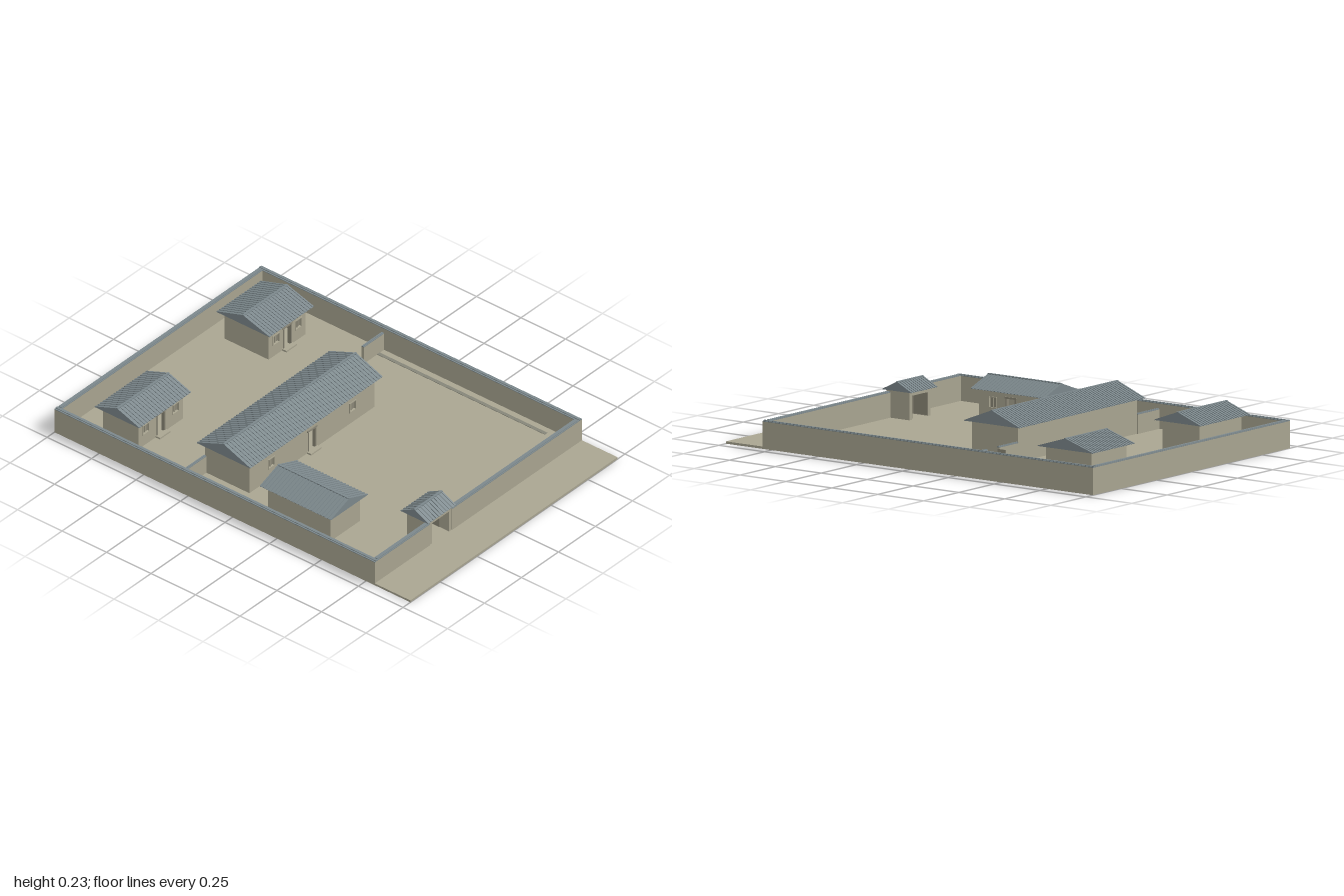
import * as THREE from 'three';

const mat = (name, color) => {
  const m = new THREE.MeshStandardMaterial({ color });
  m.name = name;
  return m;
};

export function createModel() {
  const plaster = mat('plaster', 0xa9a591);
  const slate = mat('slate', 0x7c888c);
  const timber = mat('timber', 0x8b8777);
  const drainStone = mat('drain stone', 0x858579);
  const model = new THREE.Group();
  model.name = 'walledCompound';

  const add = (parent, name, geometry, material) => {
    const mesh = new THREE.Mesh(geometry, material);
    mesh.name = name;
    parent.add(mesh);
    return mesh;
  };
  // Box given by its minimum and maximum corners
  const block = (parent, name, [x0, y0, z0], [x1, y1, z1], material) => {
    const mesh = add(parent, name, new THREE.BoxGeometry(x1 - x0, y1 - y0, z1 - z0), material);
    mesh.position.set((x0 + x1) / 2, (y0 + y1) / 2, (z0 + z1) / 2);
    return mesh;
  };
  const rect = (Type, x0, y0, x1, y1) => {
    const p = new Type();
    p.moveTo(x0, y0);
    p.lineTo(x1, y0);
    p.lineTo(x1, y1);
    p.lineTo(x0, y1);
    p.closePath();
    return p;
  };

  // Solid gable roof with tile ribs, ridge along x
  function addRoof(parent, w, d, eave, ridge) {
    const roof = new THREE.Group();
    roof.name = 'tiledRoof';
    roof.position.y = eave;
    parent.add(roof);
    const rib = 0.004;
    const rise = ridge - eave - rib;
    const gable = new THREE.Shape();
    gable.moveTo(-d / 2, 0);
    gable.lineTo(d / 2, 0);
    gable.lineTo(0, rise);
    gable.closePath();
    const prism = new THREE.ExtrudeGeometry(gable, { depth: w, bevelEnabled: false });
    prism.translate(0, 0, -w / 2).rotateY(Math.PI / 2);
    add(roof, 'roofBody', prism, slate);

    const slope = Math.hypot(d / 2, rise);
    const angle = Math.atan2(rise, d / 2);
    const count = Math.round(w / 0.018);
    const ribGeometry = new THREE.BoxGeometry(0.008, rib, slope);
    for (const side of [-1, 1]) {
      for (let i = 0; i <= count; i++) {
        const tile = add(roof, 'tileRib', ribGeometry, slate);
        tile.position.set(-w / 2 + 0.004 + (i / count) * (w - 0.008), rise / 2 + 0.001, side * d / 4);
        tile.rotation.x = side * angle;
      }
    }
    block(roof, 'ridgeCap', [-w / 2, rise - 0.003, -0.005], [w / 2, rise + rib, 0.005], slate);
  }

  // House with its door and windows on +z; w and d are the roof's size
  function addHouse(name, x, z, w, d, eave, ridge, windowX, turn = 0) {
    const house = new THREE.Group();
    house.name = name;
    house.position.set(x, 0, z);
    house.rotation.y = turn;
    model.add(house);
    const hw = w / 2 - 0.025, hd = d / 2 - 0.025, t = 0.015, base = 0.01;
    const doorW = 0.025, doorTop = 0.12;

    const front = rect(THREE.Shape, -hw, base, hw, eave);
    front.holes.push(rect(THREE.Path, -doorW, base + 0.004, doorW, doorTop));
    for (const s of [-1, 1]) {
      const c = s * windowX;
      front.holes.push(rect(THREE.Path, c - 0.02, 0.07, c + 0.02, 0.115));
    }
    const wall = new THREE.ExtrudeGeometry(front, { depth: t, bevelEnabled: false });
    wall.translate(0, 0, hd - t);
    add(house, 'frontWall', wall, plaster);
    block(house, 'backWall', [-hw, base, -hd], [hw, eave, -hd + t], plaster);
    for (const s of [-1, 1]) {
      const a = s * hw, b = s * (hw - t);
      block(house, 'endWall', [Math.min(a, b), base, -hd + t], [Math.max(a, b), eave, hd - t], plaster);
      // Window with frame, bars and recessed pane
      const c = s * windowX;
      block(house, 'windowPane', [c - 0.02, 0.07, hd - 0.012], [c + 0.02, 0.115, hd - 0.009], timber);
      block(house, 'windowBar', [c - 0.0015, 0.07, hd - 0.009], [c + 0.0015, 0.115, hd - 0.004], plaster);
      for (const e of [-1, 1]) {
        block(house, 'windowJamb', [c + e * 0.021 - 0.002, 0.067, hd], [c + e * 0.021 + 0.002, 0.118, hd + 0.003], plaster);
        block(house, 'windowRail', [c - 0.023, 0.0925 + e * 0.0235 - 0.002, hd], [c + 0.023, 0.0925 + e * 0.0235 + 0.002, hd + 0.003], plaster);
      }
      // Door jamb
      block(house, 'doorJamb', [s * doorW - 0.003, base, hd - t], [s * doorW + 0.003, doorTop, hd + 0.003], timber);
    }
    block(house, 'doorLintel', [-0.033, doorTop - 0.002, hd - t], [0.033, doorTop + 0.006, hd + 0.004], timber);
    block(house, 'doorStep', [-0.035, base, hd], [0.035, base + 0.008, hd + 0.025], plaster);
    addRoof(house, w, d, eave, ridge);
  }

  // Ground slab, extending in front of the wall
  block(model, 'groundSlab', [-0.7, 0, -1], [0.7, 0.01, 1], plaster);

  // Walls with a stepped slate coping
  function addWall(name, x0, z0, x1, z1, h) {
    block(model, name, [x0, 0.01, z0], [x1, h, z1], plaster);
    block(model, name + 'Coping', [x0, h, z0], [x1, h + 0.003, z1], slate);
    const inX = x1 - x0 < z1 - z0 ? 0.007 : 0, inZ = inX ? 0 : 0.005;
    block(model, name + 'CopingRidge', [x0 + inX, h + 0.003, z0 + inZ], [x1 - inX, h + 0.006, z1 - inZ], slate);
  }
  const t = 0.024;
  addWall('rightWall', -0.7, -1, -0.7 + t, 0.8, 0.12);
  addWall('leftWall', 0.7 - t, -1, 0.7, 0.8, 0.12);
  addWall('backWall', -0.7 + t, -1, 0.7 - t, -1 + t, 0.12);
  addWall('frontWall', -0.7 + t, 0.8 - t, -0.328, 0.8, 0.12);
  addWall('frontWall', -0.177, 0.8 - t, 0.7 - t, 0.8, 0.12);

  // Inner dividing wall with a small gateway
  addWall('innerWall', -0.7 + t, -0.306, -0.525, -0.292, 0.095);
  addWall('innerWall', 0.325, -0.306, 0.46, -0.292, 0.095);
  addWall('innerWall', 0.54, -0.306, 0.7 - t, -0.292, 0.095);
  block(model, 'innerThreshold', [0.455, 0.01, -0.306], [0.545, 0.016, -0.292], plaster);
  block(model, 'innerGateLeaf', [0.463, 0.014, -0.345], [0.467, 0.09, -0.3], timber);

  // Main gate
  const gate = new THREE.Group();
  gate.name = 'mainGate';
  gate.position.set(-0.2525, 0, 0.728);
  model.add(gate);
  for (const s of [-1, 1]) {
    const p = block(gate, 'gatePier', [-0.009, 0.01, -0.055], [0.009, 0.137, 0.069], plaster);
    p.position.x = s * 0.067;
    const leaf = block(gate, 'gateLeaf', [-0.002, 0.014, -0.055], [0.002, 0.112, 0.02], timber);
    leaf.position.x = s * 0.054;
  }
  block(gate, 'gateLintel', [-0.058, 0.115, -0.055], [0.058, 0.137, 0.069], plaster);
  addRoof(gate, 0.186, 0.155, 0.134, 0.177);

  // Houses
  addHouse('mainHouse', -0.1025, -0.175, 0.895, 0.3, 0.165, 0.228, 0.275);
  addHouse('backRightHouse', -0.427, -0.73, 0.35, 0.25, 0.145, 0.195, 0.1);
  addHouse('backLeftHouse', 0.425, -0.752, 0.3, 0.298, 0.153, 0.204, 0.075);
  addHouse('sideHouse', -0.48, 0.275, 0.4, 0.25, 0.146, 0.196, 0.1, Math.PI / 2);

  // Drain strip beside the left wall
  block(model, 'drainStrip', [0.629, 0.01, -0.292], [0.646, 0.012, 0.65], drainStone);

  return model;
}
